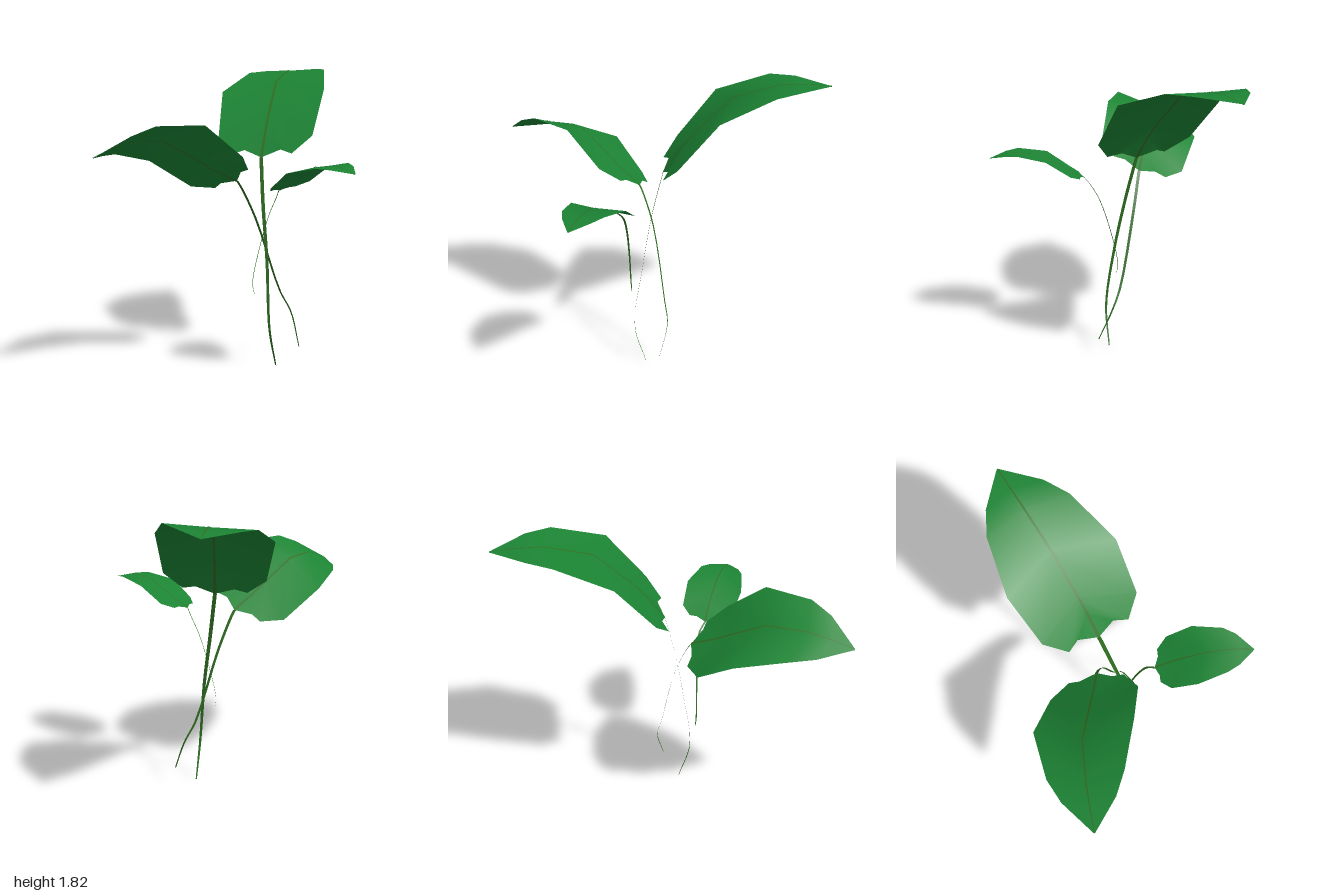
import * as THREE from 'three';

const leafMat = new THREE.MeshStandardMaterial({ color: 0x1c8434, side: THREE.DoubleSide });
const stemMat = new THREE.MeshStandardMaterial({ color: 0x2f6e22, side: THREE.DoubleSide });

// Shared leaf outline, tip to base: place on midrib, half width, sweep towards the stem.
const outline = [
  [0, 0.005, 0],
  [0.125, 0.185, 0.05],
  [0.25, 0.265, 0.05],
  [0.5, 0.35, 0.11],
  [0.675, 0.315, 0.16],
  [0.75, 0.2, 0.17],
  [1, 0.12, -0.055],
];

const vec = (p) => new THREE.Vector3(...p);
const curveThrough = (points) => new THREE.CatmullRomCurve3(points.map(vec));

// Skins rows of left, middle and right points, folding along the middle.
function skin(rows) {
  const index = [];
  for (let i = 0; i < rows.length - 1; i++) {
    const l = i * 3, m = l + 1, r = l + 2;
    index.push(l, l + 3, m, m, l + 3, m + 3, m, m + 3, r + 3, m, r + 3, r);
  }
  const geometry = new THREE.BufferGeometry().setFromPoints(rows.flat());
  geometry.setIndex(index);
  geometry.computeVertexNormals();
  return geometry;
}

// Blade rows: the outline laid across a bent midrib.
function bladeRows(midrib, right, scale) {
  return outline.map(([t, half, sweep]) => {
    const mid = midrib.getPoint(t);
    const swept = mid.clone().addScaledVector(midrib.getTangent(t), sweep * scale);
    const edge = (sign) => swept.clone().addScaledVector(right, sign * half * scale);
    return [edge(-1), mid, edge(1)];
  });
}

// Rib rows: a narrow strip hugging the blade, thinning towards the tip.
function ribRows(rows, width, lift) {
  return rows.map(([left, mid, right], i) => {
    const half = (width / 2) * (0.25 + 0.75 * i / (rows.length - 1));
    const slide = (edge) => {
      const offset = edge.clone().sub(mid);
      return mid.clone().add(offset.clampLength(0, half));
    };
    return [slide(left), mid.clone(), slide(right)].map((p) => p.setY(p.y + lift));
  });
}

// Stem rows: a flat ribbon along a curve, narrowing towards its foot.
function stemRows(points, across, width) {
  const steps = 18;
  return curveThrough(points).getPoints(steps).map((p, i) => {
    const half = (width / 2) * (1 - 0.65 * (i / steps) ** 2);
    return [-half, 0, half].map((s) => p.clone().addScaledVector(across, s));
  });
}

function makeLeaf({ name, scale, right, midrib, stem, across, width }) {
  const group = new THREE.Group();
  group.name = name;
  const add = (part, rows, material) => {
    const mesh = new THREE.Mesh(skin(rows), material);
    mesh.name = part;
    group.add(mesh);
  };
  const blade = bladeRows(curveThrough(midrib), vec(right).normalize(), scale);
  add('blade', blade, leafMat);
  add('upperRib', ribRows(blade, width, 0.003), stemMat);
  add('lowerRib', ribRows(blade, width, -0.003), stemMat);
  add('stem', stemRows([midrib.at(-1), ...stem], vec(across).normalize(), width), stemMat);
  return group;
}

export function createModel() {
  const model = new THREE.Group();
  model.name = 'leafyPlant';
  // Tall leaf reaching backwards
  model.add(makeLeaf({
    name: 'backLeaf', scale: 1, right: [0.7, 0.03, 0],
    midrib: [[-0.13, 1.8, -1], [-0.12, 1.81, -0.7], [-0.1, 1.74, -0.42], [-0.055, 1.43, -0.11], [-0.04, 1.28, 0]],
    stem: [[0, 1, 0.07], [0.05, 0.65, 0.13], [0.085, 0.25, 0.18], [0.1, 0, 0.11]],
    across: [1, 0, 0], width: 0.024,
  }));
  // Large leaf leaning forwards
  model.add(makeLeaf({
    name: 'frontRightLeaf', scale: 0.885, right: [-0.5, -0.24, -0.27],
    midrib: [[-0.64, 1.335, 1], [-0.55, 1.41, 0.75], [-0.45, 1.41, 0.53], [-0.247, 1.228, 0.284], [-0.14, 1.145, 0.147]],
    stem: [[-0.12, 1.1, 0.125], [-0.05, 0.9, 0.06], [0.08, 0.45, -0.01], [0.15, 0.31, -0.03], [0.22, 0.11, 0.02]],
    across: [0.9, 0, 0.3], width: 0.02,
  }));
  // Small leaf leaning forwards
  model.add(makeLeaf({
    name: 'frontLeftLeaf', scale: 0.51, right: [-0.14, -0.02, 0.3],
    midrib: [[0.72, 1.25, 0.512], [0.585, 1.285, 0.45], [0.447, 1.27, 0.39], [0.28, 1.166, 0.312], [0.184, 1.115, 0.28]],
    stem: [[0.15, 1.06, 0.24], [0.1, 0.96, 0.222], [0.03, 0.74, 0.21], [-0.015, 0.53, 0.205], [-0.005, 0.46, 0.2]],
    across: [0, 0, 1], width: 0.013,
  }));
  return model;
}
